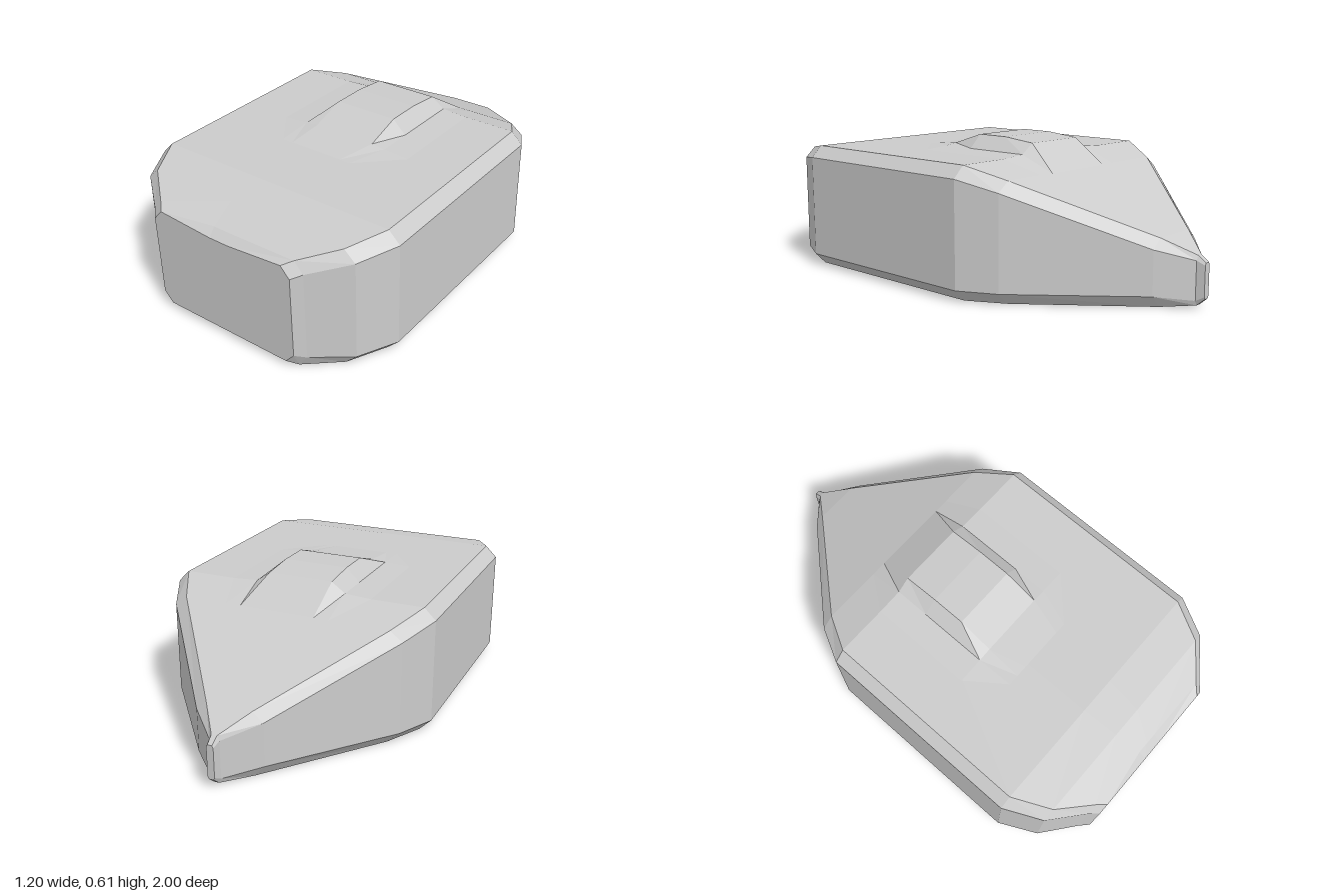
import * as THREE from 'three';

// Mirrors the +x half of a section (listed bottom to top) into a closed loop.
function mirrorLoop(half) {
  const left = half.filter(([x]) => x > 0).reverse().map(([x, y]) => [-x, y]);
  return [...half, ...left];
}

// Joins mirrored sections, ordered from +z to -z, into a capped faceted solid.
function loft(name, sections) {
  const positions = [];
  const indices = [];
  const n = mirrorLoop(sections[0].half).length;
  for (const { z, half } of sections) {
    for (const [x, y] of mirrorLoop(half)) positions.push(x, y, z);
  }
  for (let s = 0; s < sections.length - 1; s++) {
    for (let i = 0; i < n; i++) {
      const a = s * n + i;
      const b = s * n + ((i + 1) % n);
      indices.push(a, a + n, b, b, a + n, b + n);
    }
  }
  const last = (sections.length - 1) * n;
  for (let i = 1; i < n - 1; i++) {
    indices.push(0, i, i + 1);
    indices.push(last, last + i + 1, last + i);
  }
  const geometry = new THREE.BufferGeometry();
  geometry.setAttribute('position', new THREE.Float32BufferAttribute(positions, 3));
  geometry.setIndex(indices);
  geometry.computeVertexNormals();
  const mesh = new THREE.Mesh(
    geometry,
    new THREE.MeshStandardMaterial({ color: 0xcccccc, flatShading: true })
  );
  mesh.name = name;
  return mesh;
}

export function createModel() {
  const group = new THREE.Group();
  group.name = 'wedgeHull';

  // Hull: z, side width, inner width, floor, side bottom, side top, roof edge, roof centre
  const hull = [
    [1.0, 0.34, 0.3, 0.025, 0.07, 0.42, 0.465, 0.445],
    [0.965, 0.375, 0.335, 0, 0.055, 0.435, 0.48, 0.475],
    [0.85, 0.52, 0.47, 0, 0.05, 0.475, 0.52, 0.52],
    [0.69, 0.6, 0.55, 0, 0.05, 0.495, 0.545, 0.545],
    [-0.23, 0.6, 0.55, 0, 0.05, 0.495, 0.545, 0.545],
    [-0.39, 0.52, 0.465, 0, 0.05, 0.448, 0.49, 0.49],
    [-0.85, 0.145, 0.1, 0, 0.05, 0.235, 0.275, 0.275],
    [-0.965, 0.022, 0.012, 0.01, 0.03, 0.19, 0.21, 0.21],
    [-1.0, 0.015, 0.01, 0.04, 0.05, 0.175, 0.185, 0.185],
  ].map(([z, w, inner, floor, low, high, edge, roof]) => ({
    z,
    half: [
      [0, floor], [inner, floor], [w, low], [w, high],
      [inner, edge], [inner * 0.15, roof], [0, roof],
    ],
  }));
  group.add(loft('hull', hull));

  // Raised roof hatch: z, skirt width, skirt height, shoulder height, top height, buried base
  const hatch = [
    [0.39, 0.2, 0.545, 0.545, 0.545, 0.5],
    [0.23, 0.32, 0.545, 0.552, 0.56, 0.5],
    [0.075, 0.32, 0.545, 0.552, 0.61, 0.5],
    [-0.075, 0.32, 0.545, 0.552, 0.61, 0.5],
    [-0.23, 0.32, 0.545, 0.552, 0.595, 0.5],
    [-0.39, 0.27, 0.49, 0.49, 0.49, 0.45],
  ].map(([z, skirt, skirtY, shoulderY, topY, base]) => ({
    z,
    half: [
      [0, base], [skirt, base], [skirt, skirtY],
      [Math.min(0.205, skirt * 0.75), shoulderY],
      [Math.min(0.145, skirt * 0.5), topY], [0, topY],
    ],
  }));
  group.add(loft('roofHatch', hatch));

  return group;
}
